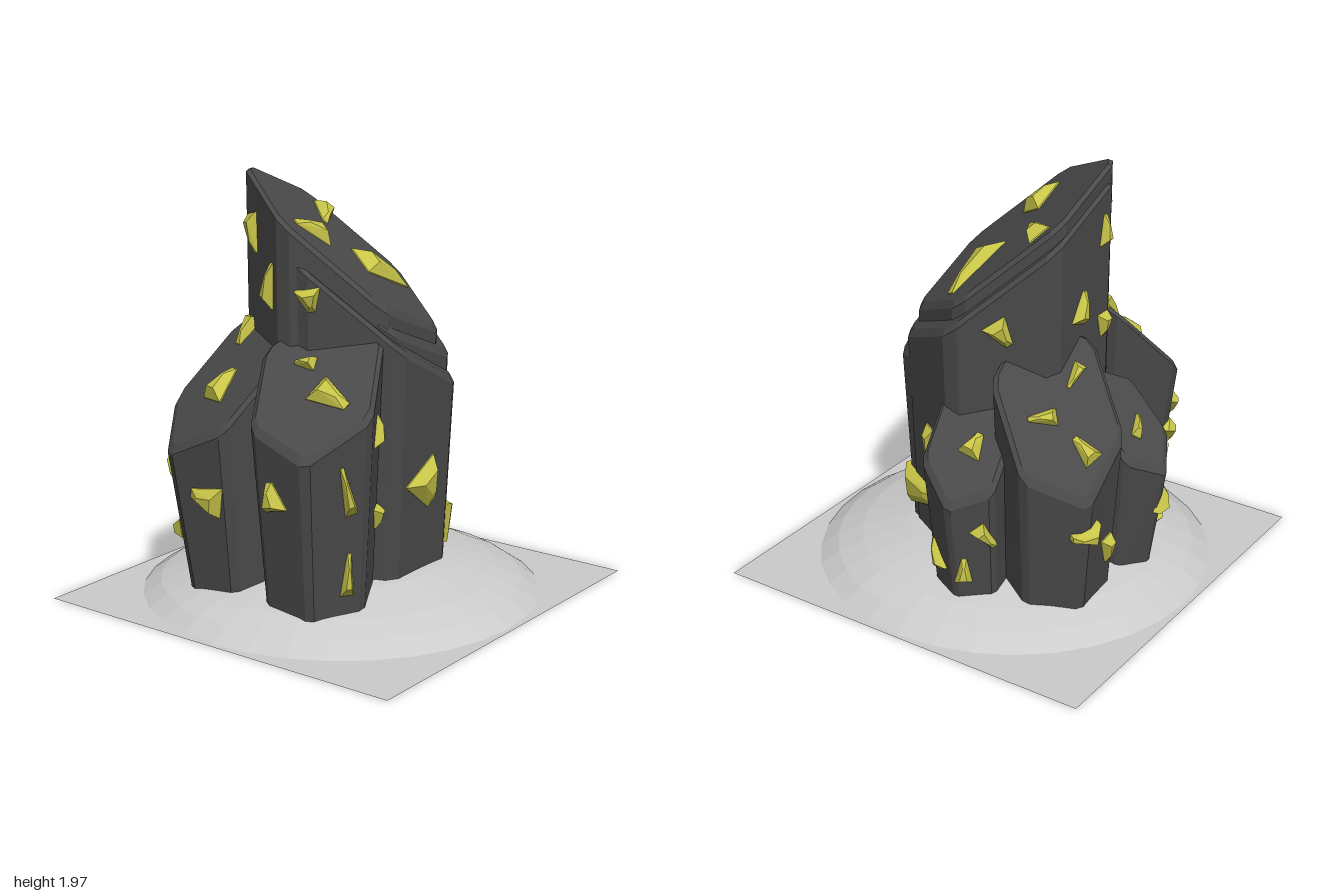
import * as THREE from 'three';
import { ConvexGeometry } from 'three/addons/geometries/ConvexGeometry.js';

const V = (x, y, z) => new THREE.Vector3(x, y, z);
const rockMat = new THREE.MeshStandardMaterial({ color: 0x4a4a4a, flatShading: true });
const crystalMat = new THREE.MeshStandardMaterial({ color: 0xc8c548, flatShading: true });
const groundMat = new THREE.MeshStandardMaterial({ color: 0xcccccc, flatShading: true, side: THREE.DoubleSide });

// Hexagon corners with each corner cut in two
function cutHexagon(cx, cz, r, rot, cut) {
  const corner = i => {
    const a = THREE.MathUtils.degToRad(rot + i * 60);
    return V(cx + r * Math.cos(a), 0, cz + r * Math.sin(a));
  };
  const pts = [];
  for (let i = 0; i < 6; i++) {
    pts.push(corner(i).lerp(corner(i - 1), cut), corner(i).lerp(corner(i + 1), cut));
  }
  return pts;
}

// Six-sided rock column: narrow foot, slanted top, chamfered edges
// top: [x, z, radius], foot: [x, z, radius], h: height at top centre, sx / sz: slope of the cut
function columnGeometry({ top, foot, rot, h, sx, sz }) {
  const cut = 0.09;
  const plane = (p, drop) => V(p.x, h + sx * (p.x - top[0]) + sz * (p.z - top[1]) - drop, p.z);
  const rings = [
    cutHexagon(...foot, rot, cut).map(p => p.setY(0.05)),
    cutHexagon(...top, rot, cut).map(p => plane(p, 0.025)),
    cutHexagon(top[0], top[1], top[2] - 0.022, rot, cut).map(p => plane(p, 0)),
  ];
  const n = 12, pos = [], index = [];
  rings.flat().forEach(p => pos.push(p.x, p.y, p.z));
  pos.push(top[0], h, top[1], foot[0], 0.05, foot[1]);
  for (let i = 0; i < n; i++) {
    const j = (i + 1) % n;
    for (let k = 0; k < 2; k++) {
      const a = k * n + i, b = k * n + j;
      index.push(a, a + n, b, b, a + n, b + n);
    }
    index.push(3 * n, 2 * n + j, 2 * n + i, 3 * n + 1, i, j);
  }
  const g = new THREE.BufferGeometry();
  g.setAttribute('position', new THREE.Float32BufferAttribute(pos, 3));
  g.setIndex(index);
  const flat = g.toNonIndexed();
  flat.computeVertexNormals();
  return flat;
}

const columns = {
  mainColumn: { top: [0, -0.005, 0.452], foot: [0, -0.01, 0.44], rot: 30, h: 1.63, sx: -0.73, sz: 0.4 },
  mainColumnShell: { top: [0.005, -0.045, 0.478], foot: [0, -0.04, 0.45], rot: 30, h: 1.53, sx: -0.73, sz: 0.4 },
  leftColumn: { top: [0.09, -0.02, 0.45], foot: [0.07, -0.02, 0.42], rot: 30, h: 1.385, sx: -0.64, sz: 0.52 },
  frontLeftColumn: { top: [0.235, 0.485, 0.31], foot: [0.22, 0.45, 0.25], rot: 3, h: 1.13, sx: -0.3, sz: -0.87 },
  frontRightColumn: { top: [-0.275, 0.465, 0.315], foot: [-0.245, 0.44, 0.245], rot: -4, h: 1.08, sx: 0.4, sz: -0.93 },
  backRightColumn: { top: [-0.45, -0.33, 0.295], foot: [-0.42, -0.3, 0.25], rot: 29, h: 1.02, sx: 0.95, sz: 0.74 },
  backColumn: { top: [-0.12, -0.545, 0.208], foot: [-0.12, -0.5, 0.175], rot: 24, h: 0.84, sx: 0.35, sz: 1.05 },
  rightColumn: { top: [-0.575, 0.07, 0.205], foot: [-0.53, 0.07, 0.165], rot: 0, h: 0.83, sx: 1.05, sz: 0.05 },
};

// Sides the crystals are pressed in from: horizontal axis, vertical axis, outward axis
const sides = {
  front: [V(1, 0, 0), V(0, 1, 0), V(0, 0, 1)],
  left: [V(0, 0, -1), V(0, 1, 0), V(1, 0, 0)],
  right: [V(0, 0, 1), V(0, 1, 0), V(-1, 0, 0)],
  back: [V(-1, 0, 0), V(0, 1, 0), V(0, 0, -1)],
  above: [V(1, 0, 0), V(0, 0, -1), V(0, 1, 0)],
};

// Each crystal: across, up, angle of the narrow end, length, width
const crystals = {
  front: [
    [-0.27, 1.7, -78, 0.18, 0.1], [-0.1, 1.5, 80, 0.2, 0.09], [0.13, 1.46, -80, 0.1, 0.12],
    [-0.33, 1.24, -105, 0.12, 0.12], [-0.28, 1.04, 75, 0.13, 0.14], [0.14, 1.19, 180, 0.09, 0.07],
    [0.33, 1.08, -18, 0.18, 0.14], [-0.48, 0.64, -70, 0.13, 0.07], [-0.22, 0.57, 170, 0.16, 0.15],
    [0.18, 0.66, 105, 0.13, 0.13], [-0.44, 0.38, 180, 0.1, 0.09], [0.465, 0.7, 92, 0.22, 0.06],
    [0.445, 0.31, 85, 0.2, 0.06], [-0.67, 0.33, 75, 0.1, 0.05],
  ],
  left: [
    [-0.36, 0.92, 80, 0.14, 0.08], [-0.28, 0.49, -85, 0.1, 0.08], [0.02, 0.57, -60, 0.2, 0.23],
    [0.39, 0.66, -95, 0.2, 0.07], [0.33, 0.36, 20, 0.24, 0.2], [0.66, 0.3, 100, 0.13, 0.06],
  ],
  right: [
    [0.1, 1.7, 90, 0.14, 0.07], [-0.08, 1.39, 70, 0.15, 0.1], [0.1, 1.24, -90, 0.11, 0.08],
    [-0.45, 0.5, 180, 0.12, 0.1], [-0.25, 0.33, -80, 0.14, 0.08], [0.1, 0.45, 80, 0.12, 0.09],
    [0.5, 0.55, -70, 0.13, 0.08],
  ],
  back: [
    [0.2, 1.33, -60, 0.12, 0.12], [0.18, 0.27, 85, 0.13, 0.08], [0.27, 0.45, -60, 0.12, 0.08],
  ],
  above: [
    [-0.21, 0.14, -50, 0.2, 0.11], [0.1, 0.18, 80, 0.29, 0.18], [-0.02, -0.21, -100, 0.17, 0.14],
    [-0.6, 0.35, 5, 0.1, 0.1], [-0.42, 0.41, 50, 0.13, 0.08], [-0.15, 0.54, -100, 0.08, 0.11],
    [-0.61, -0.08, -62, 0.11, 0.05], [-0.45, 0.2, 90, 0.1, 0.06],
  ],
};

// Wedge tapering along +x, rising along +z
function crystalGeometry(l, w) {
  const h = Math.min(0.05, 0.03 + w * 0.15);
  const pts = [];
  for (const s of [-1, 1]) {
    pts.push(V(-l / 2, s * w / 2, -0.03), V(l / 2, s * w * 0.14, -0.03));
    pts.push(V(-l / 2, s * w / 2, 0.006), V(l / 2, s * w * 0.14, 0.006));
    pts.push(V(-l * 0.28, s * w * 0.22 + w * 0.06, h), V(l * 0.2, s * w * 0.06 + w * 0.04, h * 0.75));
  }
  return new ConvexGeometry(pts);
}

export function createModel() {
  const model = new THREE.Group();
  model.name = 'crystalRock';

  // Ground sheet and low mound
  const sheet = new THREE.Mesh(new THREE.PlaneGeometry(1.91, 1.91).rotateX(-Math.PI / 2), groundMat);
  sheet.name = 'groundSheet';
  const profile = [[0.935, 0.002], [0.85, 0.06], [0.73, 0.11], [0.5, 0.168], [0.25, 0.2], [0, 0.21]];
  const mound = new THREE.Mesh(
    new THREE.LatheGeometry(profile.map(p => new THREE.Vector2(...p)), 32), groundMat);
  mound.name = 'mound';
  model.add(sheet, mound);

  // Rock columns
  const rocks = new THREE.Group();
  rocks.name = 'rockColumns';
  for (const [name, spec] of Object.entries(columns)) {
    const mesh = new THREE.Mesh(columnGeometry(spec), rockMat);
    mesh.name = name;
    rocks.add(mesh);
  }
  model.add(rocks);

  // Crystals set into the rock faces
  const group = new THREE.Group();
  group.name = 'crystals';
  const ray = new THREE.Raycaster();
  for (const [side, list] of Object.entries(crystals)) {
    const [across, up, out] = sides[side];
    for (const [a, b, angle, length, width] of list) {
      const start = across.clone().multiplyScalar(a).addScaledVector(up, b).addScaledVector(out, 4);
      ray.set(start, out.clone().negate());
      const hit = ray.intersectObjects(rocks.children)[0];
      if (!hit) continue;
      const n = hit.face.normal;
      const t = THREE.MathUtils.degToRad(angle);
      const dir = across.clone().multiplyScalar(Math.cos(t)).addScaledVector(up, Math.sin(t));
      dir.addScaledVector(out, -dir.dot(n) / Math.max(out.dot(n), 0.1));
      const stretch = Math.min(dir.length(), 1.4);
      dir.addScaledVector(n, -dir.dot(n)).normalize();
      const mesh = new THREE.Mesh(crystalGeometry(length * stretch, width), crystalMat);
      mesh.name = 'crystal';
      mesh.quaternion.setFromRotationMatrix(
        new THREE.Matrix4().makeBasis(dir, n.clone().cross(dir), n));
      mesh.position.copy(hit.point);
      group.add(mesh);
    }
  }
  model.add(group);
  return model;
}
